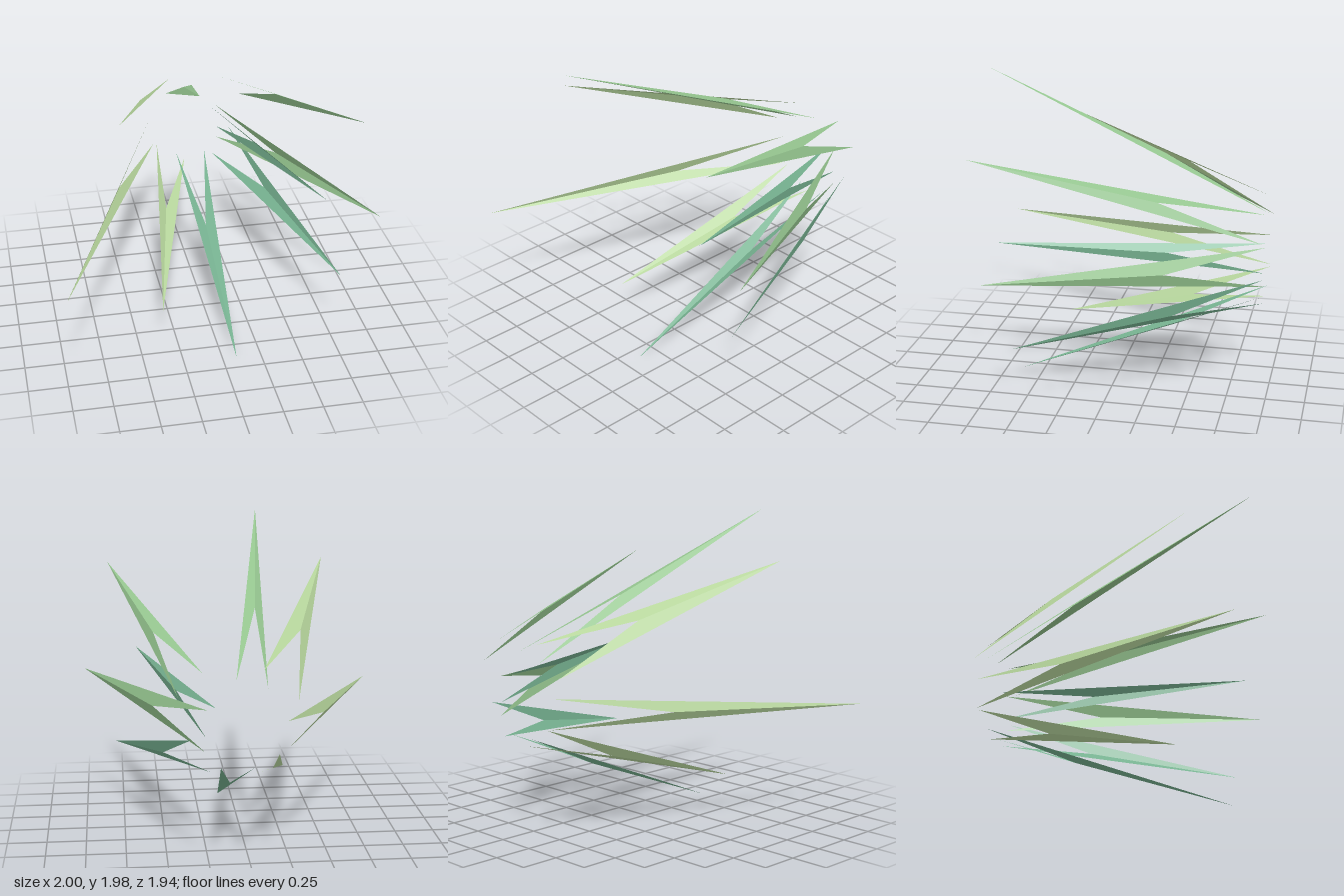
import * as THREE from 'three';

const BACK = -0.97;   // every tail point lies on this plane
const NOTCH = 0.63;   // notch position from tip to tail line
const FOLD = 0.015;   // crease height relative to length

const LIME = 0xb5d49b, GREEN = 0x95c58f, TEAL = 0x75b08f;

// tip x, y, z; first tail x, y; second tail x, y
const DARTS = [
  ['topDart', GREEN, [-0.2, 1.98, 0.91], [-0.08, 1.15], [0.105, 1.2]],
  ['upperRightDart', LIME, [-0.62, 1.685, 0.6], [-0.26, 1.08], [-0.055, 1.26]],
  ['upperLeftDart', GREEN, [0.83, 1.645, 0.75], [0.3, 1.25], [0.44, 1.105]],
  ['rightDart', LIME, [-1, 0.757, 0.97], [-0.2, 0.955], [-0.175, 0.762]],
  ['lowerRightDart', LIME, [-0.345, 0.265, 0.42], [-0.15, 0.757], [0.05, 0.628]],
  ['bottomDart', TEAL, [0.09, 0, 0.65], [-0.01, 0.68], [0.195, 0.68]],
  ['lowerLeftDart', TEAL, [0.8, 0.447, 0.51], [0.25, 0.655], [0.37, 0.853]],
  ['leftDart', GREEN, [1, 0.93, 0.64], [0.285, 0.778], [0.275, 1.03]],
  ['innerLeftDart', TEAL, [0.65, 1.08, 0.63], [0.222, 1.04], [0.28, 0.863]],
];

// Folded arrowhead: two thin triangles that meet along a crease from tip to notch
function dart(name, color, tipXYZ, tailA, tailB) {
  const tip = new THREE.Vector3(...tipXYZ);
  const a = new THREE.Vector3(...tailA, BACK);
  const b = new THREE.Vector3(...tailB, BACK);
  const mid = a.clone().lerp(b, 0.5);
  const axis = tip.clone().sub(mid);
  const normal = b.clone().sub(a).cross(axis).normalize();
  const outward = normal.z < 0; // the crease rises away from the ring's centre
  if (!outward) normal.negate();
  const notch = tip.clone().lerp(mid, NOTCH).addScaledVector(normal, FOLD * axis.length());

  const corners = outward ? [tip, a, notch, tip, notch, b] : [tip, notch, a, tip, b, notch];
  const geometry = new THREE.BufferGeometry().setFromPoints(corners);
  geometry.computeVertexNormals();
  const mesh = new THREE.Mesh(geometry, new THREE.MeshStandardMaterial({
    color, flatShading: true, side: THREE.DoubleSide,
  }));
  mesh.name = name;
  return mesh;
}

export function createModel() {
  const group = new THREE.Group();
  group.name = 'dartRing';
  for (const spec of DARTS) group.add(dart(...spec));
  return group;
}
